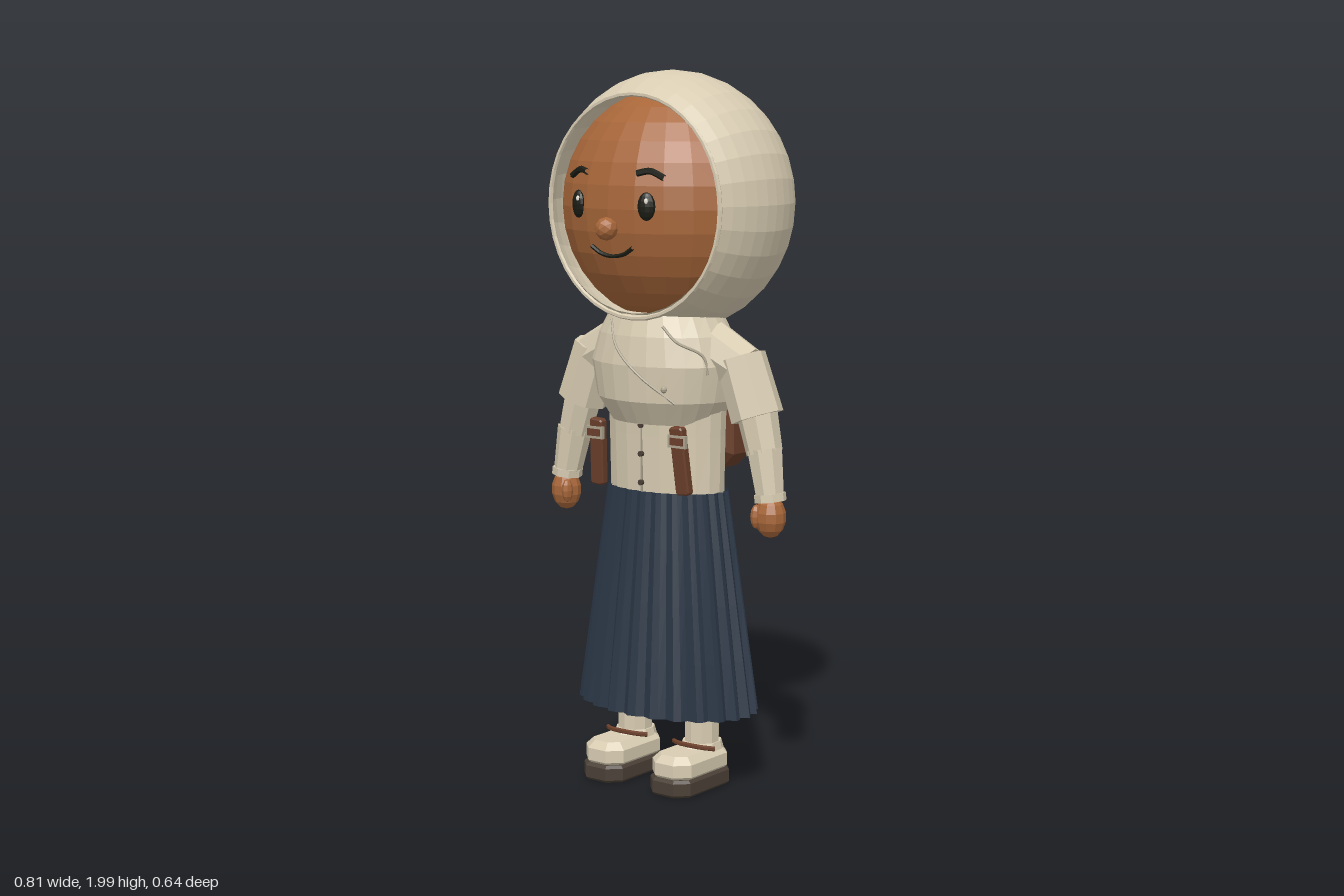
import * as THREE from 'three';

const mat = (name, color) => {
  const m = new THREE.MeshStandardMaterial({ color, side: THREE.DoubleSide });
  m.name = name;
  return m;
};
const V = (x, y, z) => new THREE.Vector3(x, y, z);

// Faceted normals for the low-poly look
function flat(geo) {
  const g = geo.index ? geo.toNonIndexed() : geo;
  g.computeVertexNormals();
  return g;
}

// Stack of ellipses [y, rx, rz, centreX, centreZ], bottom to top, capped
function loft(rings, n) {
  const pos = [], idx = [];
  rings.forEach(([y, rx, rz, cx = 0, cz = 0]) => {
    for (let j = 0; j < n; j++) {
      const a = (j / n) * Math.PI * 2;
      pos.push(cx + rx * Math.sin(a), y, cz + rz * Math.cos(a));
    }
  });
  const last = rings.length - 1, c = rings.length * n;
  [rings[0], rings[last]].forEach(([y, , , cx = 0, cz = 0]) => pos.push(cx, y, cz));
  for (let j = 0; j < n; j++) {
    const k = (j + 1) % n;
    for (let i = 0; i < last; i++) {
      const a = i * n + j, b = i * n + k;
      idx.push(a, b, b + n, a, b + n, a + n);
    }
    idx.push(k, j, c, last * n + j, last * n + k, c + 1);
  }
  const g = new THREE.BufferGeometry();
  g.setAttribute('position', new THREE.Float32BufferAttribute(pos, 3));
  g.setIndex(idx);
  return flat(g);
}

// Box with cut corners (c) and a bevel (b), centred on the origin
function chamferBox(w, h, d, c, b) {
  const x = w / 2 - b, y = h / 2 - b;
  const s = new THREE.Shape([
    [x - c, -y], [x, c - y], [x, y - c], [x - c, y], [c - x, y], [-x, y - c], [-x, c - y], [c - x, -y],
  ].map(p => new THREE.Vector2(...p)));
  const g = new THREE.ExtrudeGeometry(s, { depth: d - 2 * b, bevelEnabled: true, bevelThickness: b, bevelSize: b, bevelSegments: 1 });
  return flat(g.translate(0, 0, b - d / 2));
}

// Tapered cylinder from a to b
function limb(a, b, ra, rb, n = 8) {
  const d = b.clone().sub(a);
  const g = new THREE.CylinderGeometry(rb, ra, d.length(), n);
  g.applyQuaternion(new THREE.Quaternion().setFromUnitVectors(V(0, 1, 0), d.normalize()));
  const m = a.clone().add(b).multiplyScalar(0.5);
  return flat(g.translate(m.x, m.y, m.z));
}

const tube = (pts, r, n = 10) => flat(new THREE.TubeGeometry(new THREE.CatmullRomCurve3(pts), n, r, 6));
const ball = (rx, ry, rz, w = 12, h = 8) => flat(new THREE.SphereGeometry(1, w, h).scale(rx, ry, rz));

export function createModel() {
  const cream = mat('cream cloth', 0xd8ccb2);
  const trim = mat('shaded trim', 0xada38e);
  const skin = mat('skin', 0xa8673a);
  const navy = mat('navy skirt', 0x2b3746);
  const leather = mat('leather', 0x6b3f2b);
  const pocketBrown = mat('pocket leather', 0x7d4d35);
  const soleBrown = mat('sole', 0x4a4036);
  const dark = mat('dark features', 0x1c1d15);
  const white = mat('eye glint', 0xe8e4d8);

  const model = new THREE.Group();
  const add = (name, geo, material, x = 0, y = 0, z = 0, parent = model) => {
    const m = new THREE.Mesh(geo, material);
    m.name = name;
    m.position.set(x, y, z);
    parent.add(m);
    return m;
  };

  // Hood, open at the front, with a rolled rim
  const hood = new THREE.SphereGeometry(1, 32, 18, 0, Math.PI * 2, 0, 2.16);
  hood.rotateX(-Math.PI / 2).scale(0.352, 0.36, 0.315);
  add('hood', flat(hood), cream, 0, 1.64, 0);
  const rim = new THREE.TorusGeometry(0.293, 0.007, 6, 40).scale(1, 1.035, 1);
  add('hoodRim', flat(rim), cream, 0, 1.632, 0.175);

  // Head and face
  const headY = 1.63;
  add('head', ball(0.32, 0.325, 0.285, 24, 16), skin, 0, headY, 0);
  const faceZ = (x, y) => 0.285 * Math.sqrt(1 - (x / 0.32) ** 2 - ((y - headY) / 0.325) ** 2);
  const onFace = (x, y, out = 0.002) => V(x, y, faceZ(x, y) + out);
  add('nose', flat(new THREE.IcosahedronGeometry(0.032, 1)), skin, 0, 1.578, 0.29);
  add('mouth', tube([[-0.07, 1.528], [-0.04, 1.51], [0, 1.503], [0.04, 1.51], [0.07, 1.528]].map(p => onFace(...p)), 0.006), dark);
  for (const s of [1, -1]) {
    const eye = add('eye', ball(0.025, 0.038, 0.014), dark, s * 0.117, 1.64, faceZ(0.117, 1.64));
    eye.rotation.y = s * 0.35;
    add('eyeGlint', ball(0.006, 0.008, 0.004, 8, 6), white, s * 0.117 + 0.008, 1.655, faceZ(0.117, 1.655) + 0.013);
    add('eyebrow', tube([[0.085, 1.727], [0.12, 1.733], [0.158, 1.715]].map(([x, y]) => onFace(s * x, y, 0.004)), 0.009), dark);
  }

  // Blouse
  add('blouse', loft([[0.82, 0.183, 0.11], [1.0, 0.186, 0.115], [1.12, 0.19, 0.12], [1.3, 0.17, 0.12]]
    .map(r => [...r, 0, 0.025]), 20), cream);
  add('placket', new THREE.BoxGeometry(0.004, 0.2, 0.008), trim, 0, 0.945, 0.139);
  for (const y of [0.87, 0.95, 1.03])
    add('button', flat(new THREE.CylinderGeometry(0.008, 0.008, 0.01, 8).rotateX(Math.PI / 2)), soleBrown, 0, y, 0.143);

  // Draped scarf over chest and shoulders
  const scarf = [[1.035, 0.165, 0.125], [1.1, 0.207, 0.162], [1.2, 0.226, 0.17], [1.28, 0.2, 0.158], [1.34, 0.165, 0.14]];
  add('scarf', loft(scarf.map(r => [...r, 0, 0.03]), 24), cream);
  const onScarf = (x, y) => {
    const i = Math.max(1, scarf.findIndex(r => r[0] >= y));
    const [a, b] = [scarf[i - 1], scarf[i]];
    const t = (y - a[0]) / (b[0] - a[0]);
    const rx = a[1] + t * (b[1] - a[1]), rz = a[2] + t * (b[2] - a[2]);
    return V(x, y, 0.031 + rz * Math.sqrt(Math.max(0, 1 - (x / rx) ** 2)));
  };
  const folds = [
    [[-0.09, 1.32], [-0.05, 1.25], [0.03, 1.18], [0.13, 1.1]],
    [[0.09, 1.31], [0.13, 1.27], [0.19, 1.23], [0.2, 1.18]],
  ];
  folds.forEach(f => add('scarfFold', tube(f.map(p => onScarf(...p)), 0.004, 14), trim));
  const pin = onScarf(0.105, 1.14);
  add('scarfPin', ball(0.01, 0.01, 0.008, 8, 6), trim, pin.x, pin.y, pin.z);

  // Pleated skirt
  const pleats = 24;
  const skirt = new THREE.CylinderGeometry(1, 1, 0.625, pleats * 3, 4, true);
  const p = skirt.attributes.position;
  for (let i = 0; i < p.count; i++) {
    const y = p.getY(i), t = 0.5 - y / 0.625;
    const step = Math.round((Math.atan2(p.getX(i), p.getZ(i)) / (Math.PI * 2)) * pleats * 3 + pleats * 3) % 3;
    const k = 1 - [0, 0.025, 0.08][step] * (0.6 + 0.4 * t);
    p.setXYZ(i, p.getX(i) * k * (0.192 + 0.096 * t), y, p.getZ(i) * k * (0.122 + 0.063 * t));
  }
  add('skirt', flat(skirt), navy, 0, 0.5325, 0.022);

  for (const s of [1, -1]) {
    // Arm: shoulder, short over-sleeve, bent forearm, cuff and hand
    const at = (x, y, z) => V(s * x, y, z);
    const arm = new THREE.Group();
    arm.name = s > 0 ? 'leftArm' : 'rightArm';
    model.add(arm);
    const part = (name, geo, m) => add(name, geo, m, 0, 0, 0, arm);
    part('shoulder', limb(at(0.15, 1.25, 0.02), at(0.27, 1.19, 0.02), 0.075, 0.068), cream);
    part('sleeve', limb(at(0.25, 1.225, 0.02), at(0.307, 1.065, 0.02), 0.07, 0.074), cream);
    part('upperForearm', limb(at(0.3, 1.1, 0.02), at(0.335, 0.97, 0.025), 0.058, 0.05), cream);
    part('lowerForearm', limb(at(0.335, 0.98, 0.025), at(0.36, 0.845, 0.032), 0.051, 0.04), cream);
    part('cuff', limb(at(0.358, 0.862, 0.032), at(0.361, 0.84, 0.032), 0.044, 0.044), cream);
    const hand = part('hand', ball(0.044, 0.058, 0.042, 10, 7), skin);
    hand.position.set(s * 0.362, 0.798, 0.034);
    const thumb = part('thumb', ball(0.016, 0.034, 0.018, 8, 6), skin);
    thumb.position.set(s * 0.335, 0.8, 0.062);

    // Leg, sock and shoe
    const leg = new THREE.Group();
    leg.name = s > 0 ? 'leftLeg' : 'rightLeg';
    leg.position.x = s * 0.12;
    model.add(leg);
    add('sock', loft([[0.08, 0.05, 0.05, 0, 0.02], [0.4, 0.05, 0.05, 0, 0.02]], 10), cream, 0, 0, 0, leg);
    add('sole', chamferBox(0.14, 0.25, 0.05, 0.03, 0.008).rotateX(Math.PI / 2), soleBrown, 0, 0.03, 0.075, leg);
    add('shoe', chamferBox(0.136, 0.24, 0.075, 0.025, 0.02).rotateX(Math.PI / 2), cream, 0, 0.08, 0.075, leg);
    add('shoeCollar', loft([[0.1, 0.062, 0.075, 0, 0.025], [0.13, 0.054, 0.06, 0, 0.02]], 10), cream, 0, 0, 0, leg);
    add('shoeStrap', tube([V(-0.072, 0.122, 0.055), V(-0.04, 0.127, 0.08), V(0.04, 0.127, 0.08), V(0.072, 0.122, 0.055)], 0.007), leather, 0, 0, 0, leg);

    // Front harness strap with buckle, and strap behind the shoulder
    const strap = add('harnessStrap', chamferBox(0.045, 0.19, 0.026, 0.004, 0.004), leather, s * 0.145, 0.945, 0.15);
    strap.rotation.set(0.1, 0, s * 0.06);
    add('buckle', new THREE.BoxGeometry(0.06, 0.035, 0.01), trim, s * 0.145, 1.0, 0.166);
    add('buckleCenter', new THREE.BoxGeometry(0.044, 0.02, 0.012), leather, s * 0.145, 1.0, 0.168);
    add('shoulderStrap', limb(V(s * 0.07, 1.2, -0.135), V(s * 0.07, 1.3, -0.145), 0.014, 0.014, 4), leather);
  }

  // Backpack with pocket
  add('backpack', chamferBox(0.31, 0.35, 0.135, 0.025, 0.03), leather, 0, 1.067, -0.118);
  add('backpackPocket', chamferBox(0.22, 0.17, 0.06, 0.01, 0.012), pocketBrown, 0, 1.015, -0.198);
  add('pocketSeam', new THREE.BoxGeometry(0.19, 0.006, 0.006), leather, 0, 1.065, -0.228);

  return model;
}
